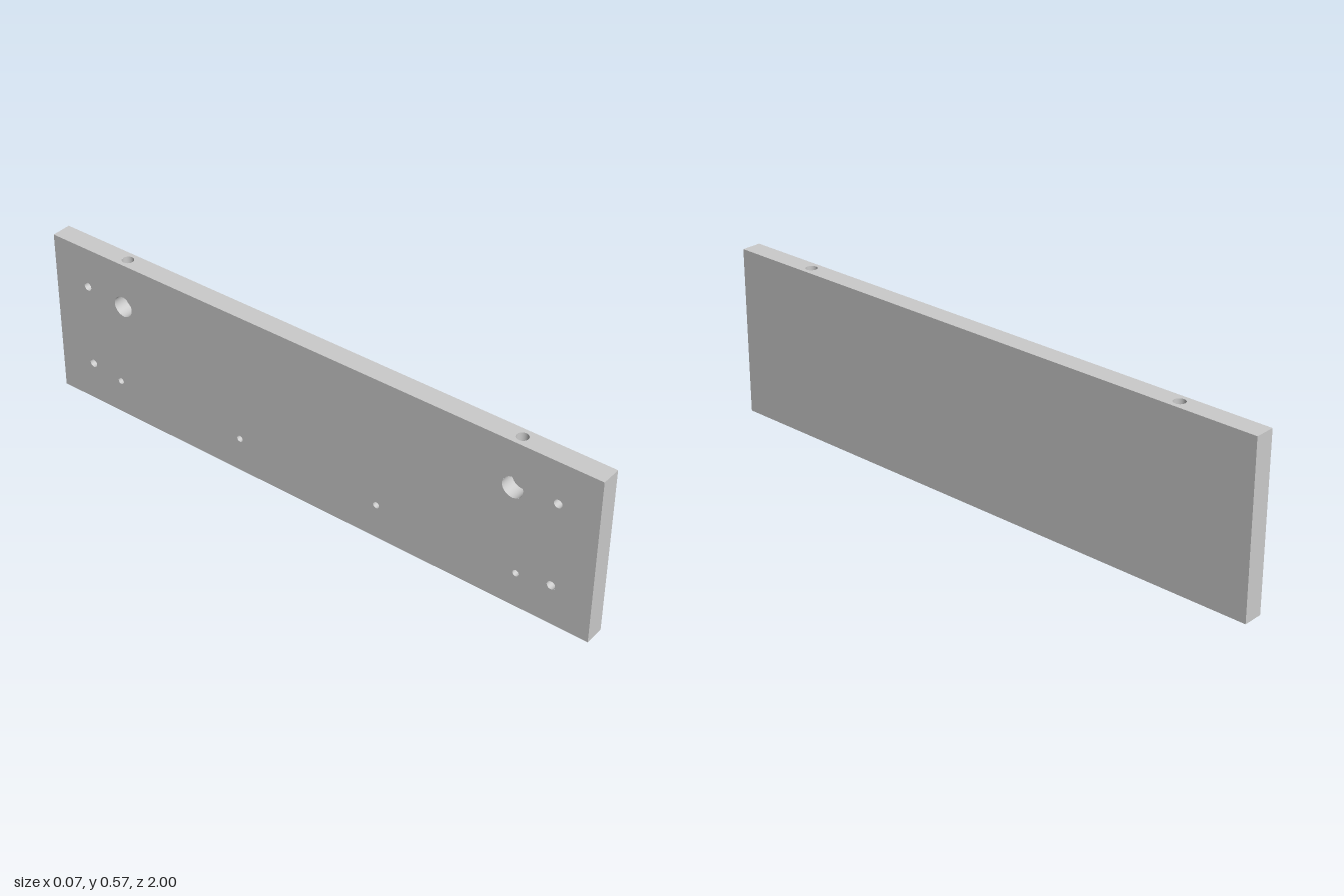
import * as THREE from 'three';

const T = 0.067, H = 0.567, L = 2; // thickness (x), height (y), length (z)
const SEG = 32;
const grey = new THREE.MeshStandardMaterial({ color: 0xcccccc });
const inside = new THREE.MeshStandardMaterial({ color: 0xcccccc, side: THREE.BackSide });

function add(parent, name, geometry, material = grey) {
  const mesh = new THREE.Mesh(geometry, material);
  mesh.name = name;
  parent.add(mesh);
  return mesh;
}

// A rectangular face looking along +z, centred on the origin, with blind round holes { name, u, v, r, depth }
function drilledFace(name, w, h, holes = []) {
  const group = new THREE.Group();
  group.name = name;
  const shape = new THREE.Shape([[-w, -h], [w, -h], [w, h], [-w, h]].map(([x, y]) => new THREE.Vector2(x / 2, y / 2)));
  for (const { name: holeName, u, v, r, depth } of holes) {
    shape.holes.push(new THREE.Path().absarc(u, v, r, 0, Math.PI * 2, true));
    const wall = new THREE.CylinderGeometry(r, r, depth, SEG, 1, true).rotateX(Math.PI / 2);
    add(group, holeName + 'Wall', wall, inside).position.set(u, v, -depth / 2);
    add(group, holeName + 'Floor', new THREE.CircleGeometry(r, SEG)).position.set(u, v, -depth);
  }
  add(group, name + 'Surface', new THREE.ShapeGeometry(shape, SEG));
  return group;
}

export function createModel() {
  const board = new THREE.Group();
  board.name = 'drilledBoard';

  // Holes mirrored about the middle of the board's length
  const sideHoles = [], topHoles = [], bottomHoles = [];
  for (const s of [-1, 1]) {
    const side = (name, z, y, r, depth) => sideHoles.push({ name, u: s * z, v: y - H / 2, r, depth });
    side('camHole', 0.72, 0.413, 0.035, 0.05);
    side('upperRailHole', 0.867, 0.428, 0.014, 0.04);
    side('lowerRailHole', 0.867, 0.138, 0.014, 0.04);
    side('outerScrewHole', 0.75, 0.12, 0.011, 0.04);
    side('innerScrewHole', 0.26, 0.12, 0.011, 0.04);
    topHoles.push({ name: 'boltHole', u: 0, v: s * 0.72, r: 0.019, depth: 0.117 });
    bottomHoles.push({ name: 'dowelHole', u: 0, v: s * 0.72, r: 0.0125, depth: 0.1 });
  }

  // Six faces of the board
  const place = (face, x, y, z, rx, ry) => {
    face.position.set(x, y, z);
    face.rotation.set(rx, ry, 0);
    board.add(face);
  };
  const q = Math.PI / 2;
  place(drilledFace('drilledSide', L, H, sideHoles), -T / 2, H / 2, 0, 0, -q);
  place(drilledFace('plainSide', L, H), T / 2, H / 2, 0, 0, q);
  place(drilledFace('topEdge', T, L, topHoles), 0, H, 0, -q, 0);
  place(drilledFace('bottomEdge', T, L, bottomHoles), 0, 0, 0, q, 0);
  place(drilledFace('frontEnd', T, H), 0, H / 2, L / 2, 0, 0);
  place(drilledFace('backEnd', T, H), 0, H / 2, -L / 2, 0, Math.PI);

  return board;
}
